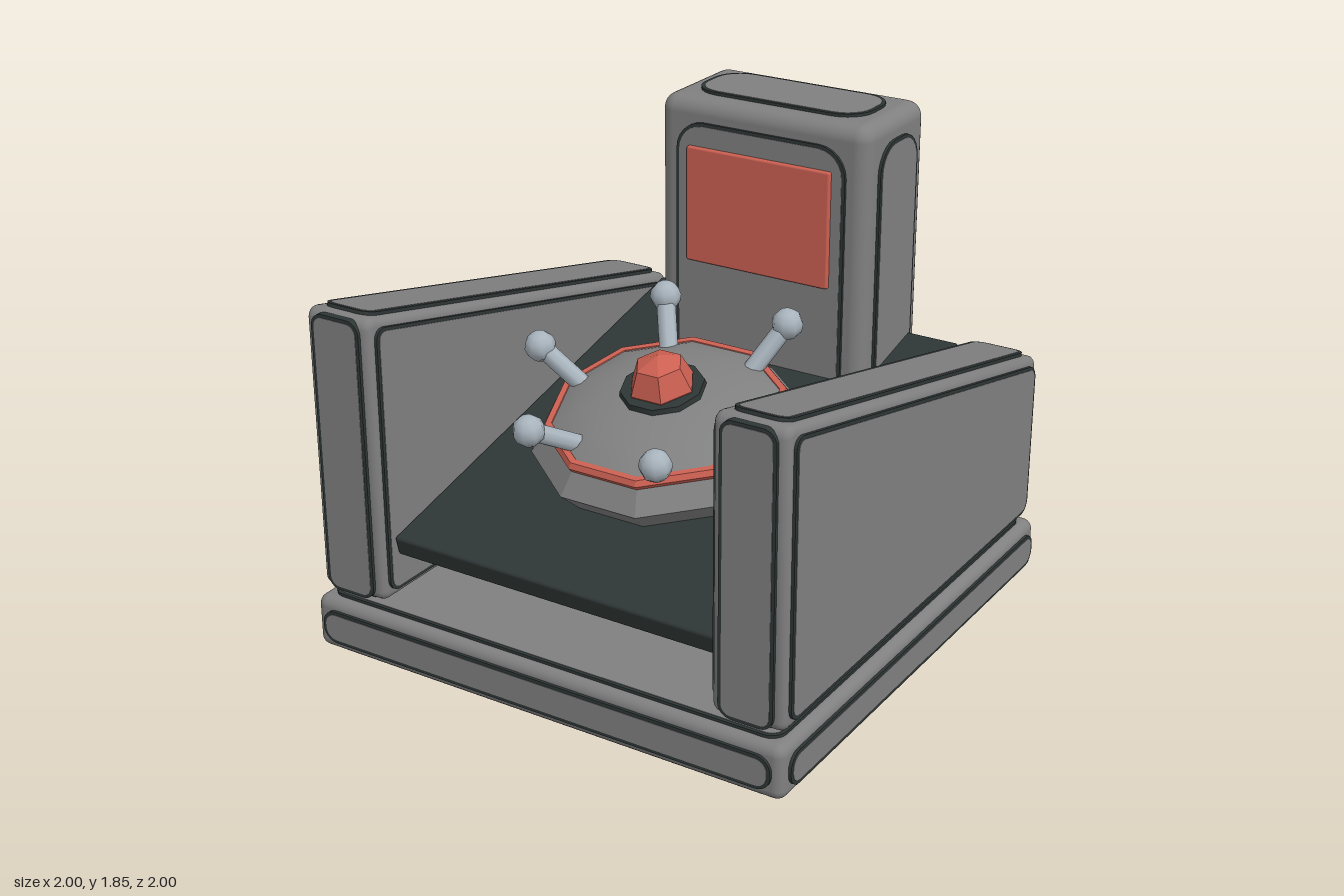
import * as THREE from 'three';
import { toCreasedNormals } from 'three/addons/utils/BufferGeometryUtils.js';
import { RoundedBoxGeometry } from 'three/addons/geometries/RoundedBoxGeometry.js';

const material = (name, color, flatShading = false) => {
  const m = new THREE.MeshStandardMaterial({ color, flatShading });
  m.name = name;
  return m;
};

const TILT = 0.234; // slope of the deck and the saucer

const rect = (w, h) => [[-w / 2, -h / 2], [w / 2, -h / 2], [w / 2, h / 2], [-w / 2, h / 2]];

// Unit directions of the edges before and after corner i
function edges(pts, i) {
  const n = pts.length;
  const [p, q, s] = [pts[(i + n - 1) % n], pts[i], pts[(i + 1) % n]].map((a) => new THREE.Vector2(...a));
  return { q, a: q.clone().sub(p).normalize(), b: s.sub(q).normalize() };
}

// Shrink a counter-clockwise convex polygon by d
const inset = (pts, d) => pts.map((_, i) => {
  const { q, a, b } = edges(pts, i);
  const v = b.clone().sub(a).multiplyScalar(d / a.cross(b)).add(q);
  return [v.x, v.y];
});

// Convex polygon with rounded corners
function roundedShape(pts, r) {
  const shape = new THREE.Shape();
  pts.forEach((_, i) => {
    const { q, a, b } = edges(pts, i);
    const s = q.clone().addScaledVector(a, -r);
    const e = q.clone().addScaledVector(b, r);
    if (i) shape.lineTo(s.x, s.y);
    else shape.moveTo(s.x, s.y);
    const k = 0.55;
    shape.bezierCurveTo(s.x + a.x * r * k, s.y + a.y * r * k, e.x - b.x * r * k, e.y - b.y * r * k, e.x, e.y);
  });
  shape.closePath();
  return shape;
}

export function createModel() {
  const grey = material('grey', 0x808080);
  const dark = material('dark', 0x2e3635);
  const red = material('red', 0xcc6052);
  const silver = material('silver', 0xa9b4bd);
  const redFacet = red; // one red for all accents
  const model = new THREE.Group();

  function add(parent, name, geo, mat, pos = [0, 0, 0], rot = [0, 0, 0]) {
    const mesh = new THREE.Mesh(geo, mat);
    mesh.name = name;
    mesh.position.set(...pos);
    mesh.rotation.set(...rot);
    parent.add(mesh);
    return mesh;
  }

  function prism(pts, r, depth) {
    const geo = new THREE.ExtrudeGeometry(roundedShape(pts, r), { depth, bevelEnabled: false, curveSegments: 6 });
    return geo.translate(0, 0, -depth / 2);
  }

  // Panel slab sunk through a body: dark rim with a grey face inside, on both ends
  function slab(parent, name, pts, r, depth, pos, rot) {
    add(parent, name + 'Rim', prism(pts, r, depth), dark, pos, rot);
    add(parent, name, prism(inset(pts, 0.013), r - 0.013, depth + 0.004), grey, pos, rot);
  }

  // Rounded box with panels on all six sides; m is the margin around each panel
  function panelledBox(name, w, h, d, r, m, pr, pos) {
    const g = new THREE.Group();
    g.name = name;
    g.position.set(...pos);
    model.add(g);
    const out = 0.022;
    add(g, name + 'Body', new RoundedBoxGeometry(w, h, d, 4, r), grey);
    slab(g, 'frontBackPanel', rect(w - 2 * m, h - 2 * m), pr, d + out, [0, 0, 0], [0, 0, 0]);
    slab(g, 'sidePanel', rect(d - 2 * m, h - 2 * m), pr, w + out, [0, 0, 0], [0, Math.PI / 2, 0]);
    slab(g, 'topBottomPanel', rect(w - 2 * m, d - 2 * m), pr, h + out, [0, 0, 0], [Math.PI / 2, 0, 0]);
  }

  // Base and rear tower
  panelledBox('base', 1.974, 0.21, 1.974, 0.04, 0.04, 0.058, [0, 0.118, 0]);
  panelledBox('tower', 0.895, 1.58, 0.466, 0.06, 0.085, 0.115, [0, 1.045, -0.745]);
  add(model, 'screen', new RoundedBoxGeometry(0.615, 0.455, 0.03, 2, 0.008), red, [0, 1.43, -0.496]);

  // Side walls, high at the front
  const profile = [[-0.945, 0.255], [-0.945, 0.92], [0.955, 1.36], [0.955, 0.255]].reverse();
  const slope = Math.atan(0.44 / 1.9);
  const bevel = 0.03;
  for (const s of [-1, 1]) {
    const wall = new THREE.Group();
    wall.name = s > 0 ? 'leftWall' : 'rightWall';
    wall.position.x = s * 0.83;
    model.add(wall);
    // seen along the x axis, z runs against the shape's x
    const outline = profile.map(([z, y]) => [-z, y]).reverse();
    const body = new THREE.ExtrudeGeometry(roundedShape(inset(outline, bevel), 0.012), {
      depth: 0.28 - 2 * bevel, bevelThickness: bevel, bevelSize: bevel, bevelSegments: 4, curveSegments: 4,
    }).translate(0, 0, -0.14 + bevel);
    const turn = [0, Math.PI / 2, 0];
    add(wall, 'wallBody', toCreasedNormals(body, 0.6), grey, [0, 0, 0], turn);
    slab(wall, 'wallSidePanel', inset(outline, 0.032), 0.05, 0.302, [0, 0, 0], turn);
    slab(wall, 'wallFrontPanel', rect(0.21, 1.08), 0.05, 0.1, [0, 0.803, 0.917]);
    slab(wall, 'wallBackPanel', rect(0.21, 0.6), 0.05, 0.1, [0, 0.585, -0.907]);
    slab(wall, 'wallTopPanel', rect(0.21, 1.87), 0.05, 0.1, [0, 1.102, 0.005], [-Math.PI / 2 - slope, 0, 0]);
    slab(wall, 'wallBottomPanel', rect(0.21, 1.82), 0.05, 0.1, [0, 0.294, 0.005], [Math.PI / 2, 0, 0]);
  }

  // Sloping deck
  add(model, 'deck', new RoundedBoxGeometry(1.345, 0.08, 1.83, 2, 0.012), dark, [0, 0.68, 0], [TILT, 0, 0]);

  // Saucer lying on the deck
  const saucer = new THREE.Group();
  saucer.name = 'saucer';
  saucer.position.set(0, 0.787, 0.12);
  saucer.rotation.x = TILT;
  model.add(saucer);

  const quarter = [0, Math.PI / 2, 0];
  const frustum = (top, bottom, h) =>
    toCreasedNormals(new THREE.CylinderGeometry(top, bottom, h, 10, 1, true), 0.3);
  add(saucer, 'saucerSkirt', frustum(0.43, 0.51, 0.09), grey, [0, 0.045, 0], quarter);
  add(saucer, 'saucerUnderside', frustum(0.51, 0.42, 0.12), grey, [0, -0.06, 0], quarter);
  const arc = [];
  for (let i = 0; i <= 8; i++) {
    const r = 0.435 * (1 - i / 8);
    arc.push(new THREE.Vector2(r, 0.2 * Math.sqrt(1 - (r / 0.51) ** 2)));
  }
  add(saucer, 'saucerDome', new THREE.LatheGeometry(arc, 10), grey, [0, -0.005, 0], quarter);
  add(saucer, 'saucerBand', toCreasedNormals(new THREE.TorusGeometry(0.43, 0.024, 6, 10), 0.4), red,
    [0, 0.092, 0], [Math.PI / 2, 0, 0]);
  add(saucer, 'collar', toCreasedNormals(new THREE.CylinderGeometry(0.155, 0.165, 0.05, 10), 0.7), dark,
    [0, 0.18, 0], quarter);
  add(saucer, 'knob', toCreasedNormals(new THREE.SphereGeometry(0.127, 6, 4), 0.3), redFacet, [0, 0.21, 0]);

  // Six ball-ended rods around the dome
  const inner = new THREE.Vector3(0.36, 0.11, 0);
  const outer = new THREE.Vector3(0.53, 0.245, 0);
  const dir = outer.clone().sub(inner);
  const mid = inner.clone().add(outer).multiplyScalar(0.5);
  for (let i = 0; i < 6; i++) {
    const arm = new THREE.Group();
    arm.name = 'antenna' + (i + 1);
    arm.rotation.y = (i * Math.PI) / 3;
    saucer.add(arm);
    add(arm, 'rod', new THREE.CylinderGeometry(0.036, 0.036, dir.length(), 8), silver,
      mid.toArray(), [0, 0, -Math.atan2(dir.x, dir.y)]);
    add(arm, 'ball', new THREE.SphereGeometry(0.06, 8, 6), silver, outer.toArray());
  }
  return model;
}
